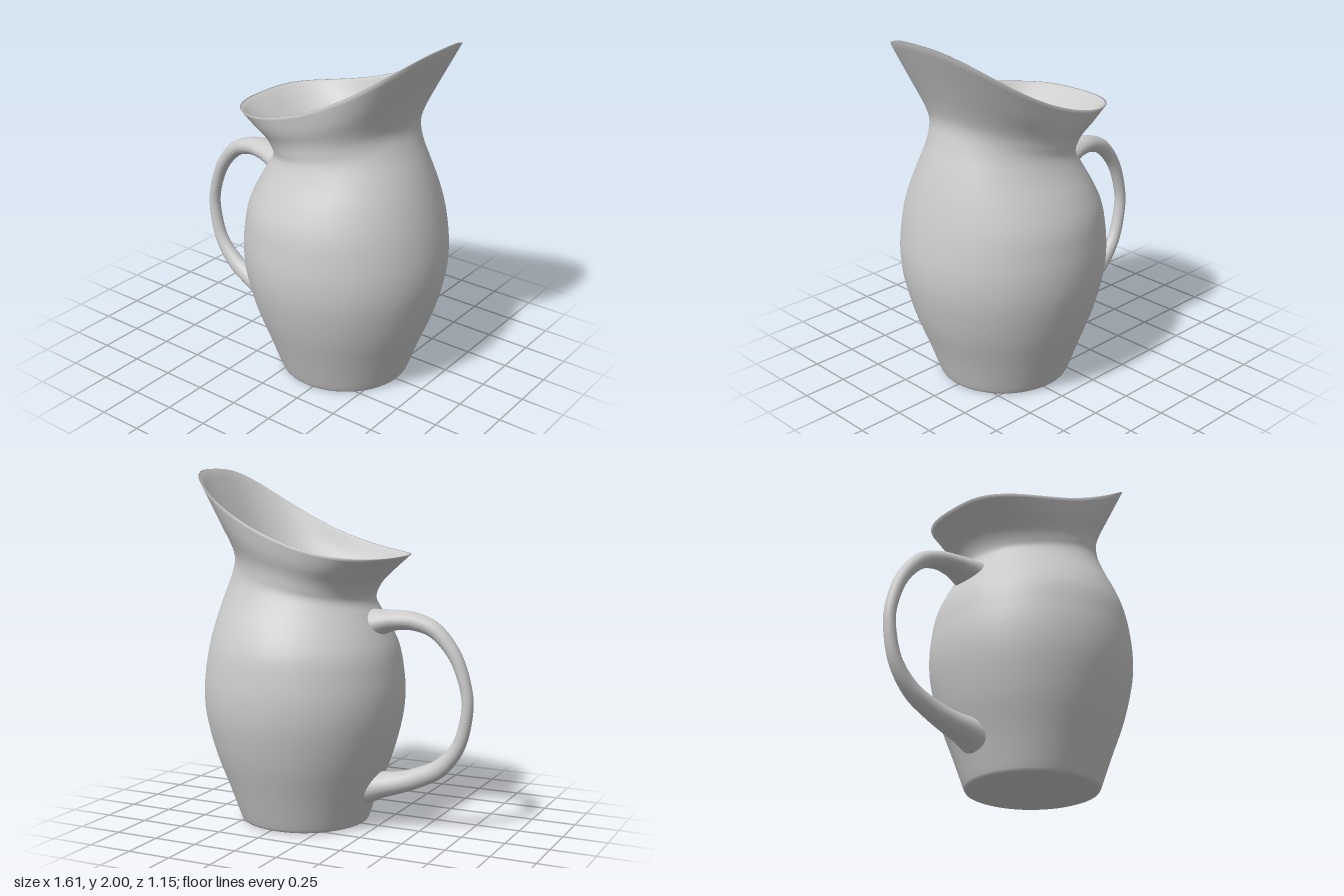
import * as THREE from 'three';

const V = (x, y, z = 0) => new THREE.Vector3(x, y, z);
const curve = (pts) => new THREE.CatmullRomCurve3(pts, false, 'catmullrom', 0.5);

// Skins a list of closed rings, each with the same number of points.
function loft(rows) {
  const n = rows[0].length, pos = [], idx = [];
  rows.forEach((r) => r.forEach((p) => pos.push(p.x, p.y, p.z)));
  for (let i = 0; i < rows.length - 1; i++) {
    for (let j = 0; j < n; j++) {
      const k = (j + 1) % n, a = i * n, b = a + n;
      idx.push(a + j, b + j, a + k, b + j, b + k, a + k);
    }
  }
  const g = new THREE.BufferGeometry();
  g.setAttribute('position', new THREE.Float32BufferAttribute(pos, 3));
  g.setIndex(idx);
  g.computeVertexNormals();
  return g;
}

// Tilted, sagging superellipse between a handle-side and a spout-side point.
function ring({ xL, yL, xR, yR, rz, sag = 0, n = 2 }, inset = 0) {
  const cx = (xL + xR) / 2, rx = (xR - xL) / 2 - inset, pts = [];
  for (let j = 0; j < 64; j++) {
    const a = (j / 64) * Math.PI * 2, c = Math.cos(a), s = Math.sin(a);
    const k = Math.pow(Math.abs(c) ** n + Math.abs(s) ** n, -1 / n);
    const u = c * k;
    const y = yL + (yR - yL) * (u + 1) / 2 - sag * (1 - u * u);
    pts.push(V(cx + rx * u, y, (rz - inset) * s * k));
  }
  return pts;
}
const disc = (r, y) => ring({ xL: 0.213 - r, xR: 0.213 + r, yL: y, yR: y, rz: r });

function jugGeometry() {
  // xL, yL, xR, yR, half depth, sag, squareness
  const keys = [
    [-0.16, 0.02, 0.587, 0.02, 0.374, 0, 2],
    [-0.222, 0.2, 0.65, 0.2, 0.44, 0, 2],
    [-0.297, 0.4, 0.725, 0.4, 0.512, 0, 2],
    [-0.348, 0.6, 0.775, 0.6, 0.562, 0, 2],
    [-0.362, 0.75, 0.788, 0.75, 0.575, 0, 2],
    [-0.352, 0.88, 0.777, 0.89, 0.566, 0, 2],
    [-0.33, 1.0, 0.752, 1.03, 0.543, 0, 2],
    [-0.29, 1.1, 0.717, 1.17, 0.49, 0, 2],
    [-0.235, 1.2, 0.675, 1.3, 0.42, 0, 2.05],
    [-0.2, 1.26, 0.63, 1.42, 0.375, 0, 2.1],
    [-0.195, 1.31, 0.603, 1.52, 0.37, 0.02, 2.2],
    [-0.23, 1.38, 0.62, 1.61, 0.376, 0.04, 2.35],
    [-0.3, 1.455, 0.69, 1.77, 0.402, 0.075, 2.6],
    [-0.38, 1.53, 0.803, 2.0, 0.42, 0.12, 2.9],
  ];
  const left = curve(keys.map((k) => V(k[0], k[1], k[4])));
  const right = curve(keys.map((k) => V(k[2], k[3])));
  const form = curve(keys.map((k) => V(k[5], k[6])));
  const at = (t) => {
    const l = left.getPoint(t), r = right.getPoint(t), f = form.getPoint(t);
    return { xL: l.x, yL: l.y, xR: r.x, yR: r.y, rz: l.z, sag: f.x, n: f.y };
  };
  const N = 64, rows = [];
  // underside with a softened foot edge
  [[0.001, 0], [0.3, 0], [0.35, 0], [0.366, 0.006]].forEach(([r, y]) => rows.push(disc(r, y)));
  // outer wall up to the rim
  for (let i = 0; i <= N; i++) rows.push(ring(at(i / N)));
  // inner wall back down, thinning towards the lip
  for (let i = N; i >= 1; i--) {
    const w = 0.012 + 0.038 * Math.min(1, (1 - i / N) / 0.2);
    rows.push(ring(at(i / N), w));
  }
  // inner floor
  [[0.31, 0.035], [0.25, 0.035], [0.001, 0.035]].forEach(([r, y]) => rows.push(disc(r, y)));
  return loft(rows);
}

function handleGeometry() {
  // x, y, half thickness, half depth
  const keys = [
    [-0.225, 1.155, 0.085, 0.12],
    [-0.29, 1.172, 0.066, 0.105],
    [-0.36, 1.182, 0.056, 0.085],
    [-0.47, 1.178, 0.05, 0.062],
    [-0.59, 1.13, 0.044, 0.048],
    [-0.7, 1.0, 0.037, 0.04],
    [-0.762, 0.83, 0.033, 0.036],
    [-0.77, 0.69, 0.033, 0.036],
    [-0.725, 0.51, 0.038, 0.038],
    [-0.62, 0.378, 0.05, 0.046],
    [-0.5, 0.312, 0.056, 0.058],
    [-0.38, 0.268, 0.062, 0.075],
    [-0.27, 0.242, 0.075, 0.095],
    [-0.185, 0.222, 0.095, 0.115],
  ];
  const path = curve(keys.map((k) => V(k[0], k[1])));
  const size = curve(keys.map((k) => V(k[2], k[3])));
  const rows = [];
  for (let i = 0; i <= 72; i++) {
    const p = path.getPoint(i / 72), s = size.getPoint(i / 72);
    const side = path.getTangent(i / 72).cross(V(0, 0, 1));
    rows.push(Array.from({ length: 24 }, (_, j) => {
      const a = (j / 24) * Math.PI * 2;
      return p.clone().addScaledVector(side, s.x * Math.cos(a)).add(V(0, 0, s.y * Math.sin(a)));
    }));
  }
  return loft(rows);
}

export function createModel() {
  const group = new THREE.Group();
  group.name = 'pitcher';
  const material = new THREE.MeshStandardMaterial({ color: 0xcccccc });
  const add = (name, geometry) => {
    const mesh = new THREE.Mesh(geometry, material);
    mesh.name = name;
    group.add(mesh);
  };
  add('body', jugGeometry());
  add('handle', handleGeometry());
  return group;
}
